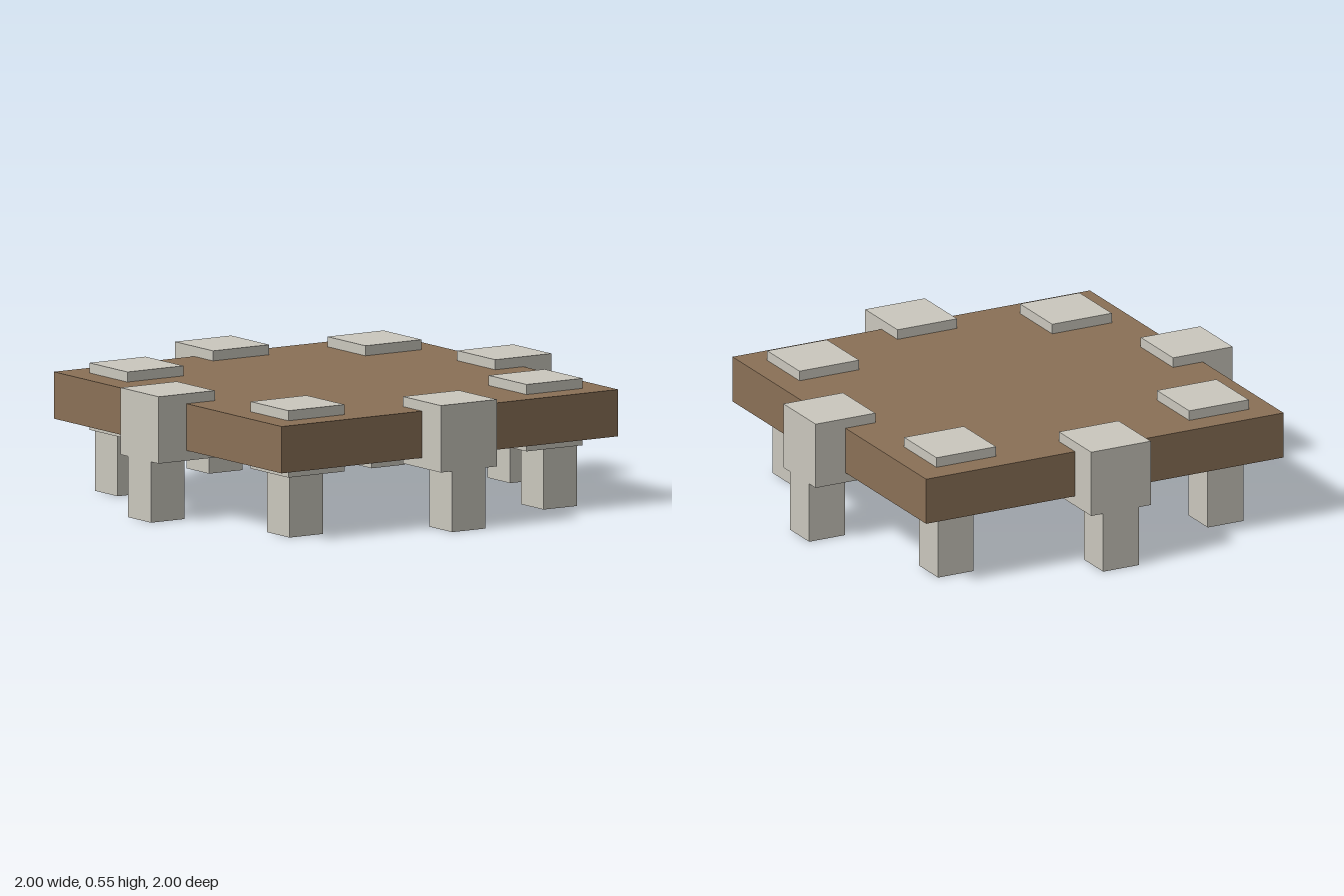
import * as THREE from 'three';

const wood = new THREE.MeshStandardMaterial({ name: 'brown wood', color: 0x8b7157 });
const stone = new THREE.MeshStandardMaterial({ name: 'pale stone', color: 0xcbc8be });

function box(name, material, [w, h, d], [x, y, z]) {
  const mesh = new THREE.Mesh(new THREE.BoxGeometry(w, h, d), material);
  mesh.name = name;
  mesh.position.set(x, y, z);
  return mesh;
}

export function createModel() {
  const model = new THREE.Group();
  model.name = 'table';

  // Square slab
  model.add(box('tableTop', wood, [1.714, 0.2, 1.714], [0, 0.403, 0]));

  // Ring of eight blocks through the slab, each on a leg set slightly further out
  const blockSize = 0.286, blockBase = 0.26, legWidth = 0.171;
  const blockRadius = 0.857, legRadius = 0.9145;
  for (let i = 0; i < 8; i++) {
    const angle = (i * Math.PI) / 4;
    const c = Math.cos(angle), s = Math.sin(angle);
    const support = new THREE.Group();
    support.name = `support${i + 1}`;
    support.add(
      box('block', stone, [blockSize, blockSize, blockSize],
        [c * blockRadius, blockBase + blockSize / 2, s * blockRadius]),
      box('leg', stone, [legWidth, blockBase, legWidth],
        [c * legRadius, blockBase / 2, s * legRadius]),
    );
    model.add(support);
  }
  return model;
}
